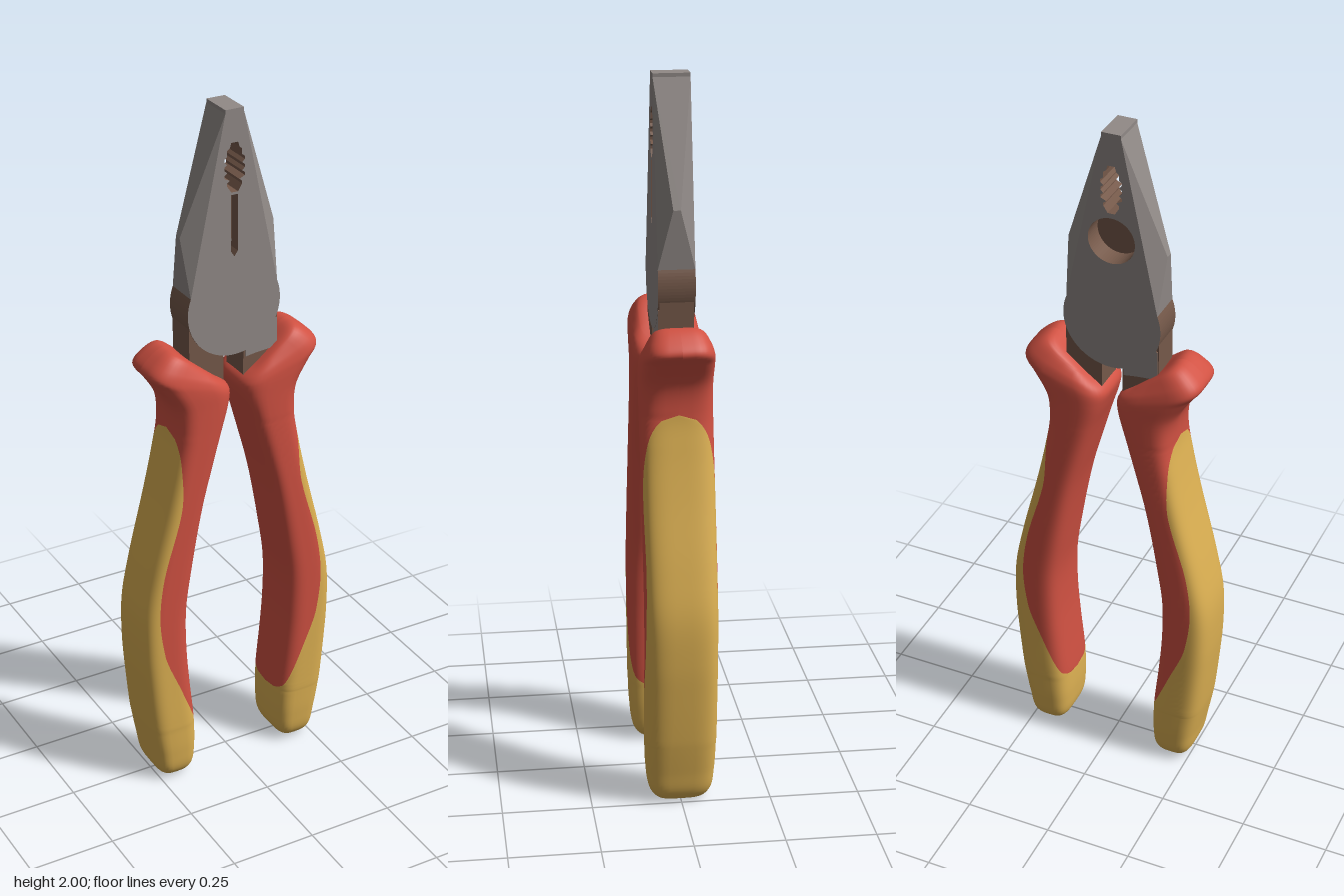
import * as THREE from 'three';

const mat = (name, color, side = THREE.FrontSide) => {
  const m = new THREE.MeshStandardMaterial({ color, side });
  m.name = name;
  return m;
};

export function createModel() {
  const steel = mat('steel', 0x918a87);
  const bronze = mat('bronze', 0x75594a);
  const red = mat('red grip', 0xd05142);
  const yellow = mat('yellow grip', 0xdcb052);
  const root = new THREE.Group();
  root.name = 'pliers';

  const add = (parent, name, geometry, material) => {
    const mesh = new THREE.Mesh(geometry, material);
    mesh.name = name;
    parent.add(mesh);
    return mesh;
  };
  const polygon = (pts) => new THREE.Shape(pts.map(([x, y]) => new THREE.Vector2(x, y)));
  const slab = (shape, z0, z1) => new THREE.ExtrudeGeometry(shape, {
    depth: z1 - z0, bevelEnabled: false, curveSegments: 32,
  }).translate(0, 0, z0);

  // Head outline: tapered jaws running into the round joint
  const headShape = () => {
    const s = new THREE.Shape();
    const a = Math.atan2(0.05, 0.13);
    s.moveTo(0.13, 1.5);
    s.lineTo(0.027, 1.99);
    s.lineTo(-0.027, 1.99);
    s.lineTo(-0.13, 1.5);
    s.absarc(0, 1.45, Math.hypot(0.13, 0.05), Math.PI - a, Math.PI * 2 + a, false);
    return s;
  };

  // Toothed pipe grip opening
  const teethHole = () => {
    const side = [[0.01, 1.775]];
    for (let i = 0; i < 5; i++) {
      const y = 1.79 + i * 0.022, w = i === 0 || i === 4 ? 0.022 : 0.03;
      side.push([w, y + 0.004], [w, y + 0.012], [w - 0.008, y + 0.018]);
    }
    side.push([0.01, 1.91]);
    return polygon([...side, ...side.map(([x, y]) => [-x, y]).reverse()]);
  };

  // Front layer has the cutter slot, back layer the round recess
  const front = headShape();
  front.holes.push(teethHole(), polygon([[-0.01, 1.61], [0, 1.595], [0.01, 1.61], [0.01, 1.768], [-0.01, 1.768]]));
  add(root, 'headFront', slab(front, 0.015, 0.05), [steel, bronze]);

  const back = headShape();
  const recess = new THREE.Path();
  recess.absarc(0, 1.695, 0.066, 0, Math.PI * 2, true);
  back.holes.push(teethHole(), recess);
  add(root, 'headBack', slab(back, -0.05, 0.015), [steel, bronze]);

  const floor = add(root, 'recessFloor', new THREE.CylinderGeometry(0.066, 0.066, 0.004, 32), bronze);
  floor.rotation.x = Math.PI / 2;
  floor.position.set(0, 1.695, 0.012);

  const tip = add(root, 'jawTip', new THREE.BoxGeometry(0.054, 0.01, 0.1), steel);
  tip.position.y = 1.995;

  // Faceted outer flank of a jaw, ending in a narrow ridge
  const flankGeometry = () => {
    const P = (x, y, z) => [[x, y, z], [x, y, -z]];
    const [a, a2] = P(0.027, 1.99, 0.05), [r, r2] = P(0.14, 1.66, 0.01), [b, b2] = P(0.13, 1.5, 0.05);
    const corners = [a, r, r2, a, r2, a2, a, b, r, a2, r2, b2, r, b, b2, r, b2, r2];
    const g = new THREE.BufferGeometry();
    g.setAttribute('position', new THREE.Float32BufferAttribute(corners.flat(), 3));
    g.computeVertexNormals();
    return g;
  };

  // Grip sections: inner x, y, outer x, y, half depth, colour split across the width
  const sections = [
    [0.195, 0.003, 0.205, 0.003, 0.01, -1],
    [0.165, 0.008, 0.235, 0.008, 0.06, -1],
    [0.143, 0.035, 0.255, 0.035, 0.085, -1],
    [0.135, 0.10, 0.268, 0.10, 0.095, -1],
    [0.136, 0.18, 0.282, 0.18, 0.098, -1],
    [0.138, 0.21, 0.286, 0.21, 0.099, -0.8],
    [0.15, 0.33, 0.297, 0.33, 0.099, -0.3],
    [0.158, 0.44, 0.304, 0.44, 0.099, 0.18],
    [0.158, 0.57, 0.301, 0.57, 0.099, 0.42],
    [0.14, 0.70, 0.275, 0.70, 0.099, 0.53],
    [0.105, 0.89, 0.226, 0.89, 0.099, 0.4],
    [0.07, 1.02, 0.197, 1.02, 0.099, 0.75],
    [0.044, 1.11, 0.182, 1.115, 0.099, 1],
    [0.022, 1.18, 0.19, 1.195, 0.099, 1],
    [0.015, 1.215, 0.232, 1.265, 0.099, 1],
    [0.02, 1.23, 0.256, 1.30, 0.097, 1],
    [0.035, 1.245, 0.235, 1.33, 0.09, 1],
    [0.06, 1.262, 0.185, 1.357, 0.07, 1],
    [0.115, 1.305, 0.125, 1.313, 0.008, 1],
  ];
  const curve = (f) => new THREE.CatmullRomCurve3(sections.map((s) => new THREE.Vector3(...f(s))));
  const inner = curve((s) => [s[0], s[1], 0]);
  const outer = curve((s) => [s[2], s[3], 0]);
  const traits = curve((s) => [s[4], s[5], s[1]]);

  // Rounded-box skin on either side of the colour split
  const gripGeometry = (isOuter) => {
    const rows = 108, cols = 40, power = 0.56, pos = [], index = [];
    const soft = (v) => Math.sign(v) * Math.abs(v) ** power;
    for (let i = 0; i <= rows; i++) {
      const p = inner.getPoint(i / rows), q = outer.getPoint(i / rows), k = traits.getPoint(i / rows);
      const split = THREE.MathUtils.clamp(k.y, -1, 1);
      const edge = Math.acos(Math.sign(split) * Math.abs(split) ** (1 / power));
      const t0 = isOuter ? -edge : edge, t1 = isOuter ? edge : Math.PI * 2 - edge;
      for (let j = 0; j <= cols; j++) {
        const t = t0 + (t1 - t0) * j / cols;
        const u = 0.5 + 0.5 * soft(Math.cos(t));
        pos.push(p.x + (q.x - p.x) * u, p.y + (q.y - p.y) * u, k.x * soft(Math.sin(t)));
        if (i < rows && j < cols) {
          const a = i * (cols + 1) + j, b = a + cols + 1;
          index.push(a, b, a + 1, a + 1, b, b + 1);
        }
      }
    }
    const g = new THREE.BufferGeometry();
    g.setAttribute('position', new THREE.Float32BufferAttribute(pos, 3));
    g.setIndex(index);
    g.computeVertexNormals();
    return g;
  };

  const tang = polygon([[0.09, 1.46], [0.03, 1.36], [0.03, 1.22], [0.06, 1.12], [0.12, 1.12], [0.134, 1.3], [0.134, 1.43]]);
  const cheek = polygon([[0.1, 1.40], [0.035, 1.34], [0.035, 1.295], [0.07, 1.30], [0.132, 1.305], [0.132, 1.39]]);

  // The two halves are alike, turned half a turn about the upright axis
  ['left', 'right'].forEach((side, i) => {
    const half = new THREE.Group();
    half.name = side + 'Half';
    half.rotation.y = i * Math.PI;
    add(half, 'jawFlank', flankGeometry(), steel);
    add(half, 'tang', slab(tang, -0.046, 0.046), bronze);
    add(half, 'tangCheek', slab(cheek, 0.044, 0.0495), [steel, bronze]);
    add(half, 'gripCore', gripGeometry(false), red);
    add(half, 'gripOuter', gripGeometry(true), yellow);
    root.add(half);
  });
  return root;
}
